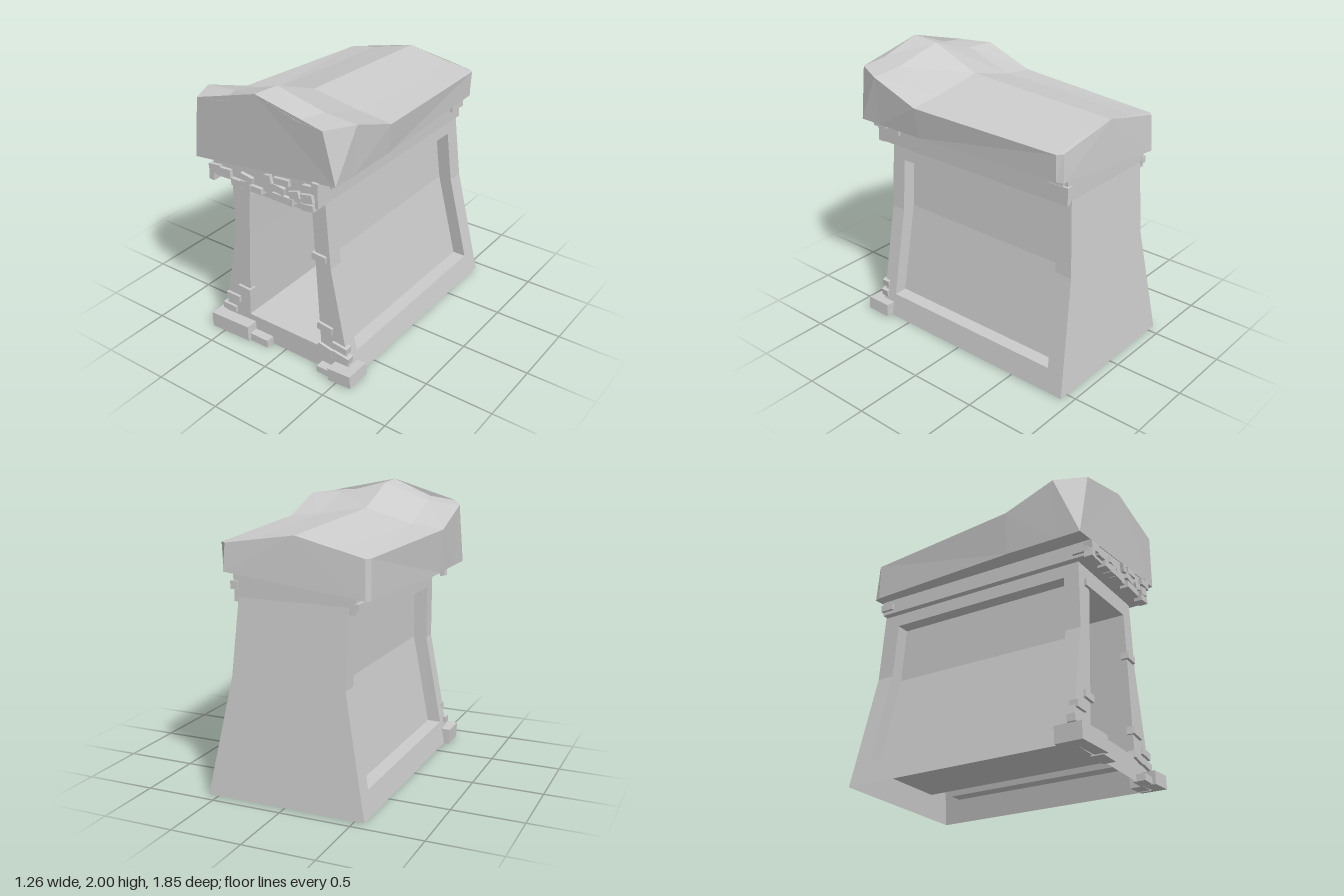
import * as THREE from 'three';

const material = new THREE.MeshStandardMaterial({ color: 0xcccccc, flatShading: true });
const shellMaterial = new THREE.MeshStandardMaterial({ color: 0xcccccc, flatShading: true, side: THREE.DoubleSide });

// Collects flat triangles and quads (split along a-c) into one mesh
function faceted(name, mat, build) {
  const points = [];
  const tri = (a, b, c) => points.push(...a, ...b, ...c);
  const quad = (a, b, c, d) => { tri(a, b, c); tri(a, c, d); };
  build(quad, tri);
  const geometry = new THREE.BufferGeometry();
  geometry.setAttribute('position', new THREE.Float32BufferAttribute(points, 3));
  geometry.computeVertexNormals();
  const mesh = new THREE.Mesh(geometry, mat);
  mesh.name = name;
  return mesh;
}

function block(name, [w, h, d], [x, y, z], tilt = 0) {
  const mesh = new THREE.Mesh(new THREE.BoxGeometry(w, h, d), material);
  mesh.name = name;
  mesh.position.set(x, y, z);
  mesh.rotation.z = tilt;
  return mesh;
}

// Wall outline as functions of height
const mix = THREE.MathUtils.lerp;
const FRONT = 0.77, BEND = 0.83, TOP = 1.36;
const rightX = y => (y < BEND ? mix(0.57, 0.405, y / BEND) : mix(0.405, 0.365, (y - BEND) / (TOP - BEND)));
const leftX = y => (y < BEND ? mix(-0.57, -0.41, y / BEND) : -0.41);
const backZ = y => -0.93 + 0.08 * y;

// Wall grid of 3 columns and 4 rows whose middle cells sink to form a recess
function recessedWall(name, point, sink) {
  return faceted(name, shellMaterial, quad => {
    for (let r = 0; r < 4; r++) {
      for (let c = 0; c < 3; c++) {
        const hole = c === 1 && (r === 1 || r === 2);
        const corners = [point(c, r), point(c + 1, r), point(c + 1, r + 1), point(c, r + 1)];
        quad(...(hole ? corners.map(sink) : corners));
      }
    }
    const rim = [[1, 1], [2, 1], [2, 2], [2, 3], [1, 3], [1, 2]].map(([c, r]) => point(c, r));
    rim.forEach((p, i) => {
      const q = rim[(i + 1) % rim.length];
      quad(p, q, sink(q), sink(p));
    });
  });
}

function createBody() {
  const body = new THREE.Group();
  body.name = 'body';

  // Side walls with shallow panels
  const sideRows = [0, 0.17, BEND, 1.22, TOP];
  for (const [name, edge, inward] of [['leftWall', rightX, -0.1], ['rightWall', leftX, 0.1]]) {
    const point = (c, r) => {
      const y = sideRows[r];
      return [edge(y), y, [FRONT, 0.66, backZ(y) + 0.125, backZ(y)][c]];
    };
    body.add(recessedWall(name, point, ([x, y, z]) => [x + inward, y, z]));
  }

  // Front wall with the deep doorway
  const frontRows = [0, 0.17, BEND, 1.2, TOP];
  const doorPoint = (c, r) => {
    const y = frontRows[r];
    const half = 0.32 - 0.054 * (y - 0.17);
    return [[leftX(y), -half, half, rightX(y)][c], y + (r === 3 ? [0, -0.01, 0.01, 0][c] : 0), FRONT];
  };
  body.add(recessedWall('doorway', doorPoint, ([x, y]) => [x, y, backZ(y) + 0.02]));

  // Back wall
  body.add(faceted('backWall', shellMaterial, quad => {
    const levels = [0, BEND, TOP];
    for (let i = 0; i < 2; i++) {
      const [a, b] = [levels[i], levels[i + 1]];
      quad([rightX(a), a, backZ(a)], [leftX(a), a, backZ(a)], [leftX(b), b, backZ(b)], [rightX(b), b, backZ(b)]);
    }
  }));
  return body;
}

// Lofted roof: each station holds eave, slope and ridge points plus the tilted underside
function createRoof() {
  const soffit = x => 1.40 + (x + 0.61) * 0.113;
  const station = (z, zBottom, [eaveL, eaveR], [bottomL, bottomR], heights) => {
    const xs = [eaveL, eaveL * 0.62, -0.04, eaveR * 0.58, eaveR];
    return [
      ...xs.map((x, i) => [x, heights[i], z]),
      [bottomR, soffit(bottomR), zBottom],
      [bottomL, soffit(bottomL), zBottom],
    ];
  };
  const stations = [
    station(0.92, 0.89, [-0.53, 0.47], [-0.61, 0.54], [1.855, 1.88, 2.0, 1.91, 1.895]),
    station(0.71, 0.71, [-0.63, 0.57], [-0.61, 0.54], [1.845, 1.865, 1.985, 1.9, 1.885]),
    station(0.34, 0.34, [-0.63, 0.57], [-0.61, 0.54], [1.71, 1.74, 1.835, 1.775, 1.75]),
    station(-0.79, -0.79, [-0.55, 0.5], [-0.55, 0.49], [1.67, 1.71, 1.785, 1.735, 1.71]),
    station(-0.82, -0.835, [-0.52, 0.46], [-0.53, 0.47], [1.67, 1.71, 1.785, 1.735, 1.71]),
  ];
  return faceted('roof', material, (quad, tri) => {
    for (let s = 0; s < stations.length - 1; s++) {
      const A = stations[s], B = stations[s + 1];
      for (let i = 0; i < 7; i++) {
        const j = (i + 1) % 7;
        if (i === 6) quad(A[i], A[j], B[j], B[i]);
        else quad(B[i], A[i], A[j], B[j]);
      }
    }
    const first = stations[0], last = stations[stations.length - 1];
    for (let k = 1; k <= 5; k++) {
      const a = (9 - k) % 7, b = (8 - k) % 7;
      tri(first[2], first[a], first[b]);
      tri(last[2], last[b], last[a]);
    }
  });
}

// Band under the roof, its underside dipping toward the right
function createBand() {
  return faceted('upperBand', material, quad => {
    const ring = z => [[-0.46, 1.31, z], [0.4, 1.33, z], [0.4, 1.54, z], [-0.46, 1.45, z]];
    const f = ring(0.885), b = ring(-0.815);
    quad(...f);
    quad(b[1], b[0], b[3], b[2]);
    for (let i = 0; i < 4; i++) {
      const j = (i + 1) % 4;
      quad(f[j], f[i], b[i], b[j]);
    }
  });
}

function createBricks() {
  const bricks = new THREE.Group();
  bricks.name = 'bricks';

  // Bricks on the front wall: x, y, width, height, tilt
  const wallBricks = [
    [-0.29, 1.19, 0.1, 0.05, 0.03], [0.32, 0.895, 0.11, 0.05, -0.06], [-0.35, 0.37, 0.11, 0.05, -0.05],
    [-0.46, 0.27, 0.12, 0.05, 0], [-0.5, 0.165, 0.12, 0.05, 0], [0.36, 0.35, 0.12, 0.055, -0.12],
    [0.48, 0.235, 0.12, 0.05, -0.12], [0.36, 0.175, 0.12, 0.055, -0.2], [0.49, 0.16, 0.13, 0.055, -0.15],
  ];
  for (const [x, y, w, h, tilt] of wallBricks) bricks.add(block('wallBrick', [w, h, 0.06], [x, y, 0.76], tilt));

  // Bricks on the front of the band
  const bandBricks = [
    [-0.46, 1.32, 0.04, 0.08, -0.1], [-0.43, 1.37, 0.1, 0.06, 0.12], [-0.34, 1.365, 0.09, 0.06, 0.05],
    [-0.25, 1.32, 0.08, 0.05, 0], [-0.16, 1.38, 0.1, 0.045, -0.15], [-0.17, 1.325, 0.08, 0.06, 0.1],
    [-0.08, 1.32, 0.09, 0.045, 0], [0.02, 1.43, 0.05, 0.06, 0.2], [0.1, 1.385, 0.1, 0.05, -0.15],
    [0.13, 1.445, 0.12, 0.045, 0.1], [0.09, 1.325, 0.07, 0.05, 0], [0.17, 1.325, 0.09, 0.05, -0.05],
    [0.23, 1.385, 0.08, 0.05, 0.3], [0.33, 1.39, 0.09, 0.06, 0.2], [0.33, 1.33, 0.1, 0.045, 0.1],
    [0.35, 1.465, 0.1, 0.045, 0.08],
  ];
  for (const [x, y, w, h, tilt] of bandBricks) bricks.add(block('bandBrick', [w, h, 0.06], [x, y, 0.88], tilt));

  // Bricks on the band's sides: z, y, length, height
  const sideBricks = [[0.85, 1.48, 0.12, 0.08], [0.71, 1.45, 0.1, 0.06], [-0.74, 1.495, 0.1, 0.05], [-0.755, 1.44, 0.15, 0.055]];
  for (const [z, y, d, h] of sideBricks) bricks.add(block('sideBrick', [0.05, h, d], [0.395, y, z]));
  bricks.add(block('sideBrick', [0.05, 0.05, 0.1], [-0.455, 1.36, -0.77]));
  bricks.add(block('sideBrick', [0.05, 0.06, 0.12], [-0.455, 1.36, 0.82]));

  // Large stones at the foot of the front corners
  bricks.add(
    block('cornerStone', [0.34, 0.115, 0.19], [-0.44, 0.06, 0.765], 0.04),
    block('footStone', [0.17, 0.06, 0.09], [-0.2, 0.03, 0.79]),
    block('cornerStone', [0.185, 0.095, 0.19], [0.53, 0.053, 0.765], 0.06),
    block('footStone', [0.13, 0.05, 0.09], [0.39, 0.026, 0.79]),
  );
  return bricks;
}

export function createModel() {
  const model = new THREE.Group();
  model.name = 'gatehouse';
  model.add(createBody(), createBand(), createRoof(), createBricks());
  return model;
}
